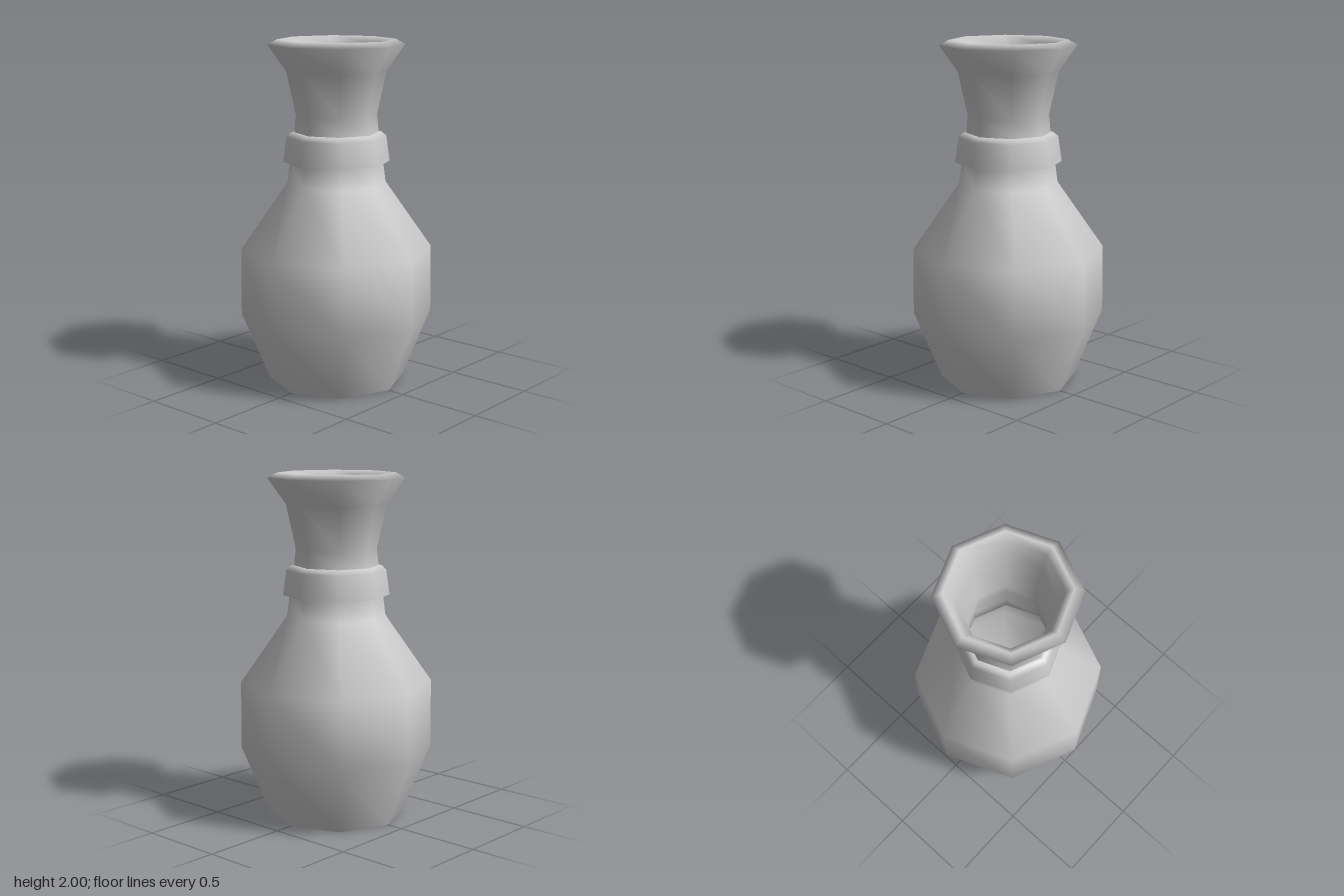
import * as THREE from 'three';

const SIDES = 8;

// Octagonal turned part; profile is [radius, y] pairs, bottom-up on the outside
function turned(name, profile, material) {
  const points = profile.map(([r, y]) => new THREE.Vector2(r, y));
  const mesh = new THREE.Mesh(new THREE.LatheGeometry(points, SIDES), material);
  mesh.name = name;
  return mesh;
}

export function createModel() {
  const group = new THREE.Group();
  group.name = 'vase';
  const material = new THREE.MeshStandardMaterial({ color: 0xcccccc });

  // Outer wall, over the flared lip, down to the throat
  const outer = [
    [0.397, 0], [0.56, 0.4], [0.556, 0.79], [0.285, 1.18], [0.27, 1.3],
    [0.243, 1.47], [0.233, 1.57], [0.287, 1.82], [0.392, 1.97],
  ];
  const lip = [[0.337, 2], [0.295, 1.96]];

  // Thin inner wall following the outer one
  const inner = [
    [0.262, 1.82], [0.217, 1.57], [0.225, 1.47], [0.25, 1.3], [0.265, 1.18],
    [0.535, 0.79], [0.54, 0.4], [0.385, 0.02],
  ];
  group.add(turned('body', [...outer, ...lip, ...inner], material));

  // Flat base, and the floor inside
  group.add(turned('base', [[0, 0], [0.397, 0]], material));
  group.add(turned('innerFloor', [[0.385, 0.02], [0, 0.02]], material));

  // Raised collar round the neck, with a sharp lower edge
  group.add(turned('collar', [
    [0.308, 1.3], [0.288, 1.445], [0.262, 1.47], [0.238, 1.472],
  ], material));
  group.add(turned('collarUnderside', [[0.262, 1.295], [0.308, 1.3]], material));

  return group;
}
